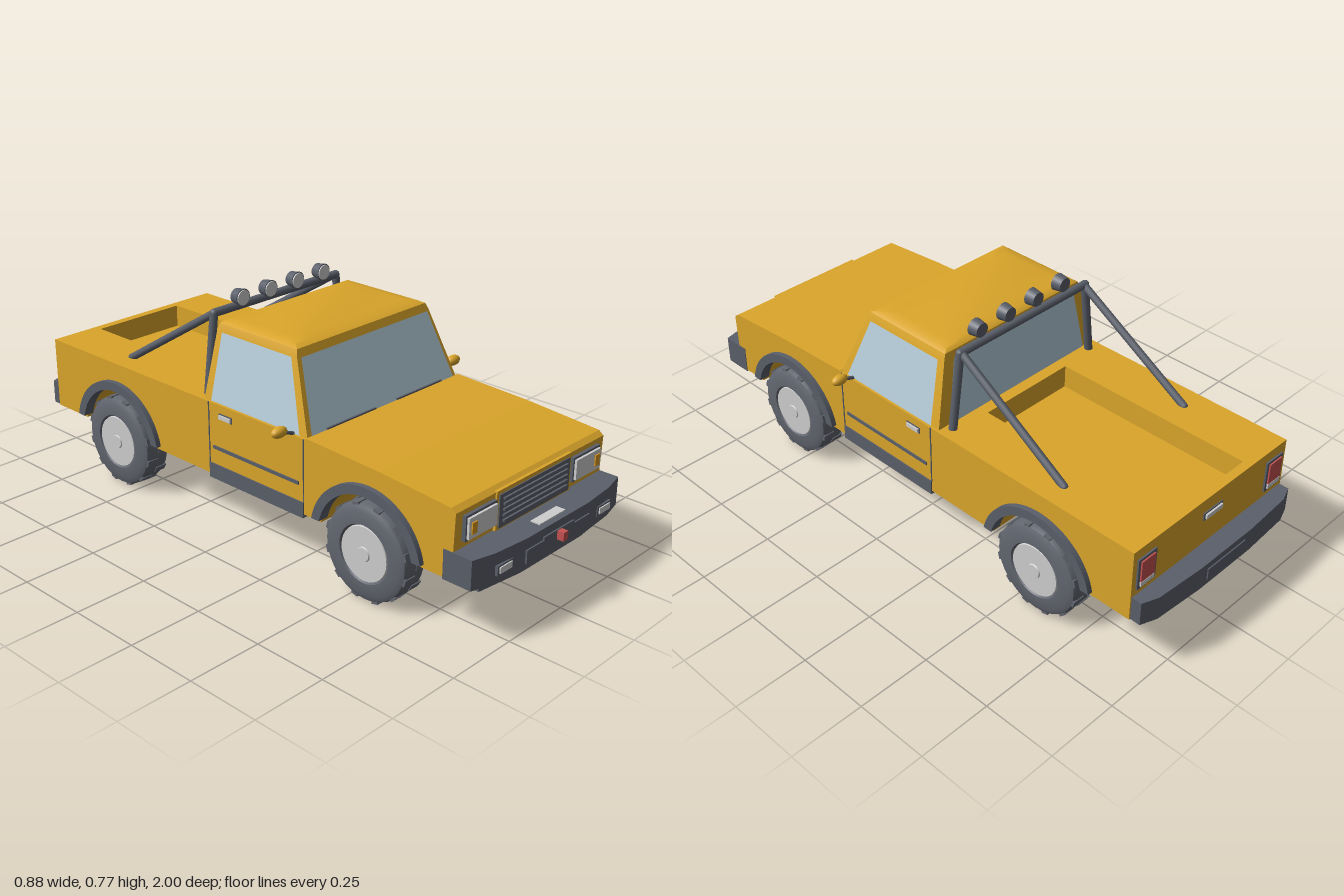
import * as THREE from 'three';
import { toCreasedNormals } from 'three/addons/utils/BufferGeometryUtils.js';

const mat = (name, color) => Object.assign(new THREE.MeshStandardMaterial({ color }), { name });

export function createModel() {
  const paint = mat('yellowPaint', 0xdaa52a);
  const dark = mat('darkTrim', 0x5a5f6a);
  const rubber = mat('tyreRubber', 0x62666f);
  const light = mat('lightGrey', 0xcdcecd);
  const glass = mat('paleGlass', 0xb7cedb);
  glass.side = THREE.DoubleSide;
  const red = mat('redLens', 0xc25250);
  const orange = mat('orangeLens', 0xd9981c);

  const model = new THREE.Group();
  model.name = 'pickupTruck';
  const add = (name, geo, material, parent = model) => {
    const mesh = new THREE.Mesh(geo, material);
    mesh.name = name;
    parent.add(mesh);
    return mesh;
  };
  // Box given by its extents on each axis
  const box = (name, [x0, x1], [y0, y1], [z0, z1], material) => {
    const geo = new THREE.BoxGeometry(Math.abs(x1 - x0), y1 - y0, z1 - z0);
    geo.translate((x0 + x1) / 2, (y0 + y1) / 2, (z0 + z1) / 2);
    return add(name, geo, material);
  };
  const toShape = (pts) => new THREE.Shape(pts.map(([a, b]) => new THREE.Vector2(a, b)));
  // Side profile (z, y) extruded across x
  const extrudeX = (shape, x0, x1) =>
    new THREE.ExtrudeGeometry(shape, { depth: x1 - x0, bevelEnabled: false, curveSegments: 24 })
      .rotateY(-Math.PI / 2).translate(x1, 0, 0);
  // Mirrored plan outline, right half given as (x, z), extruded upwards
  const extrudeY = (half, y0, y1) => {
    const pts = [...half, ...half.map(([x, z]) => [-x, z]).reverse()].map(([x, z]) => [x, -z]);
    return new THREE.ExtrudeGeometry(toShape(pts), { depth: y1 - y0, bevelEnabled: false })
      .rotateX(-Math.PI / 2).translate(0, y0, 0);
  };
  // Round bar between two points
  const bar = (name, a, b, r, material) => {
    const path = new THREE.LineCurve3(new THREE.Vector3(...a), new THREE.Vector3(...b));
    add(name, new THREE.TubeGeometry(path, 1, r, 12), material);
    for (const p of [a, b]) add(name + 'End', new THREE.SphereGeometry(r, 12, 8).translate(...p), material);
  };
  // Flat four-sided pane
  const pane = (name, pts, material) => {
    const geo = new THREE.BufferGeometry().setFromPoints(pts.map((p) => new THREE.Vector3(...p)));
    geo.setIndex([0, 1, 2, 0, 2, 3]);
    geo.computeVertexNormals();
    add(name, geo, material);
  };

  const axles = [0.56, -0.58], wheelY = 0.16;

  // Lower body: centre section with the load bed, sides with wheel wells
  const nose = [[0.87, 0.19], [0.877, 0.4], [0.86, 0.413], [0.6, 0.433], [0.31, 0.445], [0.3, 0.44]];
  const tail = [[-0.93, 0.44], [-0.93, 0.19]];
  const centre = toShape([...nose, [-0.19, 0.44], [-0.19, 0.36], [-0.9, 0.36], [-0.9, 0.44], ...tail]);
  add('bodyCentre', extrudeX(centre, -0.18, 0.18), paint);
  const side = toShape([...nose, ...tail]);
  for (const z of [...axles].reverse()) side.absarc(z, wheelY, 0.19, Math.PI - 0.1585, 0.1585, true);
  for (const x of [-0.36, 0.18]) add('bodySide', extrudeX(side, x, x + 0.18), paint);
  box('floorAndSills', [-0.364, 0.364], [0.178, 0.23], [-0.12, 0.3], dark);

  // Cab: rows of [y, half width, front z, back z] with a crowned roof
  const rows = [
    [0.42, 0.355, 0.315, -0.15], [0.665, 0.305, 0.22, -0.13], [0.685, 0.297, 0.212, -0.126],
    [0.694, 0.28, 0.19, -0.115], [0.697, 0.25, 0.15, -0.1],
  ];
  const cab = new THREE.BoxGeometry(2, 1, 2, 10, 4, 10);
  const pos = cab.attributes.position;
  for (let i = 0; i < pos.count; i++) {
    const u = pos.getX(i), v = pos.getZ(i), j = Math.round((pos.getY(i) + 0.5) * 4);
    const [y, w, zf, zb] = rows[j];
    const crown = j === 4 ? 0.014 * (1 - u * u) * (1 - v * v) : 0;
    pos.setXYZ(i, u * w, y + crown, THREE.MathUtils.lerp(zb, zf, (v + 1) / 2));
  }
  add('cab', toCreasedNormals(cab, 0.6), paint);

  // Windows lie just off the sloping cab faces
  const cabAt = (y) => {
    const t = (y - 0.42) / 0.245;
    return { w: 0.355 - 0.05 * t, zf: 0.315 - 0.095 * t, zb: -0.15 + 0.02 * t };
  };
  const lo = cabAt(0.442), hi = cabAt(0.661);
  const across = (name, key, off, k) => pane(name, [
    [-lo.w * k, 0.442, lo[key] + off], [lo.w * k, 0.442, lo[key] + off],
    [hi.w * k, 0.661, hi[key] + off], [-hi.w * k, 0.661, hi[key] + off]], glass);
  across('windscreen', 'zf', 0.004, 0.955);
  across('rearWindow', 'zb', -0.004, 0.88);

  for (const s of [-1, 1]) {
    const at = (x) => [s * x, s * (x + 0.004)];
    pane('sideWindow', [
      [s * (lo.w + 0.003), 0.442, lo.zf - 0.03], [s * (lo.w + 0.003), 0.442, -0.115],
      [s * (hi.w + 0.003), 0.661, -0.105], [s * (hi.w + 0.003), 0.661, hi.zf - 0.022]], glass);

    // Door seams, rubbing strip and handle
    for (const z of [0.3, -0.12]) box('doorSeam', at(0.358), [0.23, 0.44], [z - 0.002, z + 0.002], dark);
    box('doorStrip', at(0.36), [0.284, 0.295], [-0.1, 0.28], dark);
    box('doorHandleRecess', at(0.358), [0.392, 0.413], [-0.072, -0.012], dark);
    box('doorHandle', [s * 0.36, s * 0.368], [0.396, 0.409], [-0.068, -0.016], light);

    // Wing mirror
    bar('mirrorStalk', [s * 0.345, 0.44, 0.25], [s * 0.4, 0.46, 0.25], 0.006, dark);
    add('mirror', new THREE.SphereGeometry(1, 20, 12).scale(0.03, 0.018, 0.018)
      .translate(s * 0.41, 0.463, 0.248), paint);

    // Headlight with indicator, fog light
    const span = (a, b) => [s * a, s * b];
    box('headlightFrame', span(0.188, 0.328), [0.304, 0.384], [0.86, 0.888], dark);
    box('headlight', span(0.194, 0.322), [0.311, 0.377], [0.88, 0.896], light);
    box('indicator', span(0.29, 0.312), [0.326, 0.362], [0.893, 0.9], orange);
    box('fogLightFrame', span(0.21, 0.281), [0.21, 0.241], [0.93, 0.969], dark);
    box('fogLight', span(0.218, 0.273), [0.216, 0.236], [0.95, 0.973], light);

    // Tail light
    box('tailLightFrame', span(0.262, 0.342), [0.295, 0.405], [-0.936, -0.92], dark);
    box('tailLight', span(0.272, 0.332), [0.322, 0.396], [-0.941, -0.93], red);
    box('reversingLight', span(0.272, 0.332), [0.304, 0.32], [-0.941, -0.93], light);

    // Roll bar side
    bar('rollBarPost', [s * 0.315, 0.43, -0.172], [s * 0.28, 0.702, -0.172], 0.014, dark);
    bar('rollBarStay', [s * 0.275, 0.7, -0.175], [s * 0.28, 0.438, -0.6], 0.013, dark);

    // Wheels and arches
    for (const z of axles) {
      const arch = new THREE.Shape();
      arch.absarc(z, wheelY, 0.216, 0.2, Math.PI - 0.2, false);
      arch.absarc(z, wheelY, 0.185, Math.PI - 0.23, 0.23, true);
      add('wheelArch', extrudeX(arch, s > 0 ? 0.34 : -0.378, s > 0 ? 0.378 : -0.34), dark);

      const wheel = new THREE.Group();
      wheel.name = 'wheel';
      wheel.position.set(s * 0.328, wheelY, z);
      wheel.rotation.z = -s * Math.PI / 2; // local +y points outwards
      model.add(wheel);
      const tyre = [[0, -0.04], [0.09, -0.04], [0.095, -0.051], [0.135, -0.051], [0.152, -0.043], [0.157, -0.03],
        [0.157, 0.03], [0.152, 0.043], [0.135, 0.051], [0.095, 0.051], [0.09, 0.042], [0, 0.042]];
      const lathe = new THREE.LatheGeometry(tyre.map(([r, y]) => new THREE.Vector2(r, y)), 36);
      add('tyre', toCreasedNormals(lathe, 0.7), rubber, wheel);
      for (let i = 0; i < 24; i++) {
        const lug = new THREE.BoxGeometry(0.008, 0.042, 0.024)
          .translate(0.1555, i % 2 ? 0.022 : -0.022, 0).rotateY(i * Math.PI / 12);
        add('treadBlock', lug, rubber, wheel);
      }
      add('hub', new THREE.CylinderGeometry(0.088, 0.09, 0.008, 32).translate(0, 0.045, 0), light, wheel);
      add('hubCap', new THREE.CylinderGeometry(0.022, 0.025, 0.006, 20).translate(0, 0.05, 0), light, wheel);
    }
  }

  // Grille
  box('grilleSurround', [-0.182, 0.182], [0.28, 0.404], [0.86, 0.882], paint);
  box('grille', [-0.172, 0.172], [0.286, 0.392], [0.87, 0.886], dark);
  for (let i = 0; i < 5; i++) {
    const y = 0.303 + i * 0.0175;
    box('grilleSlat', [-0.156, 0.156], [y, y + 0.007], [0.88, 0.893], dark);
  }

  // Front bumper
  add('frontBumper', extrudeY([[0.362, 0.84], [0.362, 0.94], [0.28, 0.96], [0.15, 0.972]], 0.185, 0.28), dark);
  add('frontValance', extrudeY([[0.318, 0.88], [0.318, 0.935], [0.15, 0.955]], 0.163, 0.195), dark);
  box('bumperPanel', [-0.156, 0.156], [0.2, 0.244], [0.95, 0.977], dark);
  box('bumperPanelTop', [-0.075, 0.075], [0.24, 0.254], [0.95, 0.977], dark);
  box('towHook', [-0.011, 0.011], [0.224, 0.252], [0.97, 1.0], red);
  box('bumperPlate', [-0.065, 0.062], [0.276, 0.284], [0.92, 0.952], light);

  // Rear bumper and tailgate
  add('rearBumper', extrudeY([[0.355, -0.92], [0.355, -0.965], [0.3, -0.985], [0.12, -0.996]].reverse(),
    0.19, 0.272), dark);
  add('rearValance', extrudeY([[0.3, -0.92], [0.3, -0.965], [0.12, -0.98]].reverse(), 0.172, 0.2), dark);
  box('rearPanel', [-0.09, 0.09], [0.21, 0.25], [-1.0, -0.98], dark);
  box('tailgateHandleRecess', [-0.045, 0.045], [0.366, 0.392], [-0.934, -0.92], dark);
  box('tailgateHandle', [-0.038, 0.038], [0.371, 0.387], [-0.94, -0.925], light);

  // Wipers at the foot of the windscreen
  for (const x of [-0.27, 0.05]) box('wiper', [x, x + 0.22], [0.446, 0.451], [0.305, 0.313], dark);

  // Roll bar crosspiece with spotlights
  bar('rollBarTop', [-0.28, 0.702, -0.172], [0.28, 0.702, -0.172], 0.014, dark);
  for (const x of [-0.185, -0.062, 0.062, 0.185]) {
    const spot = (r0, r1, d, z) => new THREE.CylinderGeometry(r0, r1, d, 24).rotateX(Math.PI / 2).translate(x, 0.738, z);
    add('spotlight', spot(0.029, 0.024, 0.034, -0.154), dark);
    add('spotlightLens', spot(0.025, 0.026, 0.004, -0.136), light);
  }
  return model;
}
